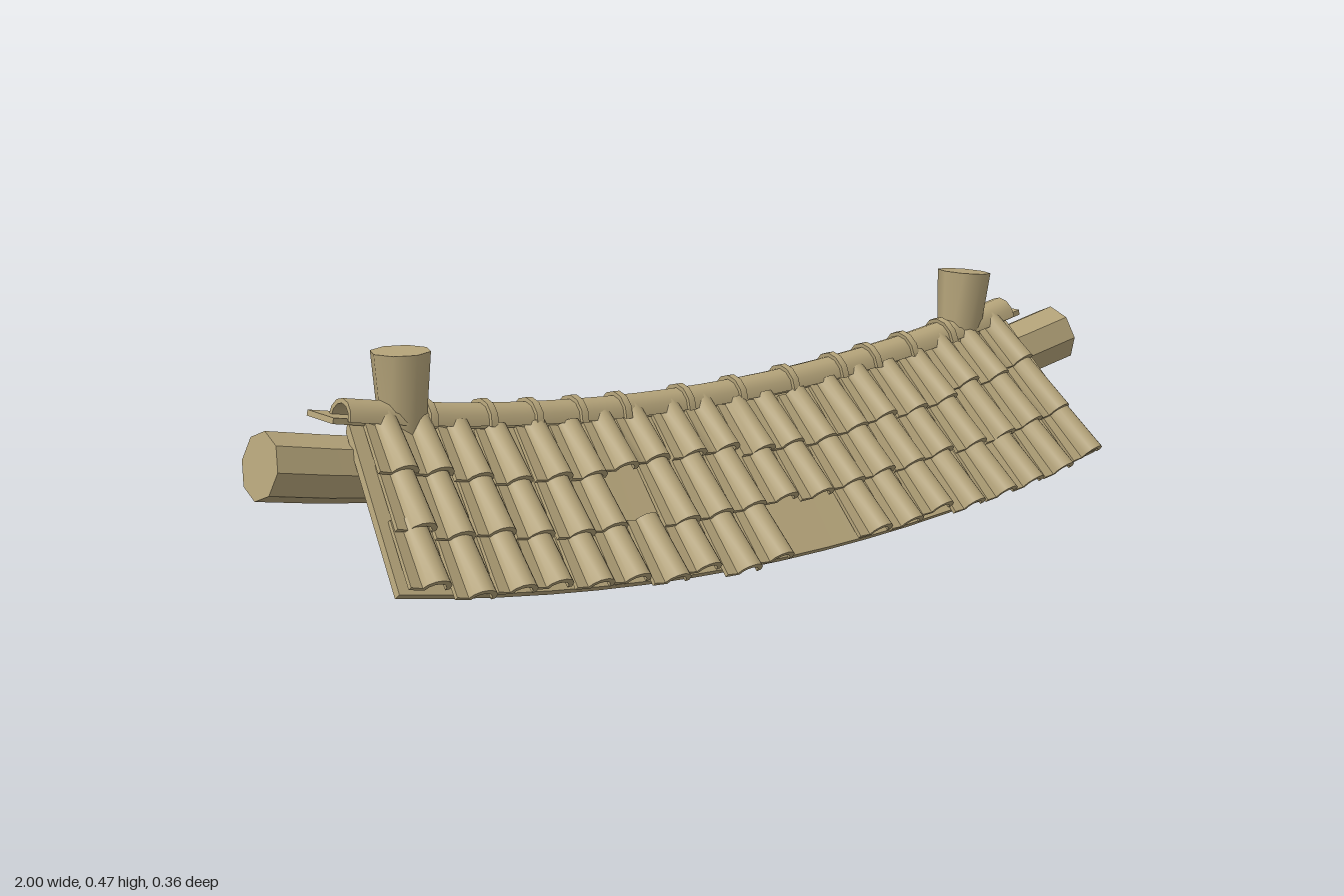
import * as THREE from 'three';
import { mergeGeometries, toCreasedNormals } from 'three/addons/utils/BufferGeometryUtils.js';

const ROOF_R = 4.45, LOG_R = 5.1;              // sag radii
const EAVE = { z: 0.14, y: 0.012 };            // top front edge of the roof deck
const UP = { z: -0.673, y: 0.74 }, OUT = { z: 0.74, y: 0.673 };

// Move every vertex by a rule
function warp(geo, rule) {
  const p = geo.attributes.position;
  const v = new THREE.Vector3();
  for (let i = 0; i < p.count; i++) {
    v.fromBufferAttribute(p, i);
    rule(v);
    p.setXYZ(i, v.x, v.y, v.z);
  }
  return geo;
}

// Bend the straight model into a sagging arc
function bend(geo, R) {
  warp(geo, v => {
    const a = v.x / R, r = R - v.y;
    v.x = r * Math.sin(a);
    v.y = R - r * Math.cos(a);
  });
  return toCreasedNormals(geo, 0.7);
}

// Half-pipe section, with an optional flat pan on the left
function archShape(r, thick, pan = 0) {
  const s = new THREE.Shape(), n = 6;
  if (pan) {
    s.moveTo(-r - pan, -0.004);
    s.lineTo(-r - pan, 0.005);
    s.lineTo(-r, 0.002);
  } else s.moveTo(-r, 0);
  for (let i = 1; i <= n; i++) {
    const a = Math.PI * (1 - i / n);
    s.lineTo(r * Math.cos(a), r * Math.sin(a));
  }
  for (let i = 0; i <= n; i++) {
    const a = Math.PI * i / n;
    s.lineTo((r - thick) * Math.cos(a), (r - thick) * Math.sin(a) - (pan ? 0.004 : 0));
  }
  s.closePath();
  return s;
}

// Half-pipe running along x
function archAlongX(x0, x1, r, thick, y, z, steps) {
  const g = new THREE.ExtrudeGeometry(archShape(r, thick), { depth: x1 - x0, steps, bevelEnabled: false });
  return g.rotateY(Math.PI / 2).translate(x0, y, z);
}

// One roof tile: t is the distance of its lip up the slope
function tile(x, t, len) {
  const g = new THREE.ExtrudeGeometry(archShape(0.029, 0.008, 0.026), { depth: len, bevelEnabled: false });
  return warp(g, v => {
    const k = v.z / len, w = t + len - v.z;     // k = 1 at the lip
    const scale = 0.86 + 0.14 * k;
    const n = v.y * scale + 0.003 + 0.011 * k;
    v.x = x + v.x * scale;
    v.y = EAVE.y + UP.y * w + OUT.y * n;
    v.z = EAVE.z + UP.z * w + OUT.z * n;
  });
}

export function createModel() {
  const group = new THREE.Group();
  const material = new THREE.MeshStandardMaterial({ color: 0xb5a47a });
  const add = (name, geo) => {
    const m = new THREE.Mesh(geo, material);
    m.name = name;
    group.add(m);
  };
  let seed = 7;
  const rnd = () => (seed = (seed * 16807) % 2147483647) / 2147483647;

  // Sloping deck under the tiles
  const deckShape = new THREE.Shape([[0.128, 0.002], [0.14, 0.012], [-0.1, 0.276], [-0.1, 0.253]]
    .map(([z, y]) => new THREE.Vector2(-z, y)));
  const deck = new THREE.ExtrudeGeometry(deckShape, { depth: 1.75, steps: 16, bevelEnabled: false });
  deck.rotateY(Math.PI / 2).translate(-0.875, 0, 0);
  add('roofDeck', bend(deck, ROOF_R));

  // Three overlapping tile rows, slightly uneven, a few tiles missing
  for (let row = 0; row < 3; row++) {
    const tiles = [];
    for (let i = 0; i < 20; i++) {
      const x = -0.8 + i * 0.086 + (rnd() - 0.5) * 0.012;
      const t = -0.008 + row * 0.118 + (rnd() - 0.5) * 0.028;
      const gone = (row === 0 && (i === 10 || i === 11)) || (row === 1 && i === 6);
      if (!gone) tiles.push(tile(x, t, row === 2 ? 0.125 : 0.142));
    }
    add('tileRow' + (row + 1), bend(mergeGeometries(tiles), ROOF_R));
  }

  // Flat board behind the ridge
  const board = new THREE.BoxGeometry(1.83, 0.011, 0.09, 16, 1, 1).translate(0, 0.274, -0.132);
  add('ridgeBoard', bend(board, ROOF_R));

  // Ridge cap with raised joints
  add('ridgeCap', bend(archAlongX(-0.885, 0.885, 0.038, 0.009, 0.275, -0.112, 20), ROOF_R));
  const joints = [-0.7, -0.56, -0.45, -0.34, -0.23, -0.065, 0.075, 0.22, 0.36, 0.46, 0.57, 0.69]
    .map(x => archAlongX(x - 0.008, x + 0.008, 0.046, 0.012, 0.275, -0.112, 1));
  add('ridgeJoints', bend(mergeGeometries(joints), ROOF_R));

  // Supporting log, thicker toward its ends
  const log = new THREE.CylinderGeometry(1, 1, 2.068, 8, 16).rotateZ(Math.PI / 2);
  warp(log, v => {
    const r = 0.049 + 0.014 * Math.min(1, Math.abs(v.x) / 0.95);
    v.y = 0.195 + v.y * r;
    v.z = -0.112 + v.z * r;
  });
  add('beamLog', bend(log, LOG_R));

  // Two tapered posts through the ridge
  for (const [name, x, tilt] of [['rightPost', -0.693, 0], ['leftPost', 0.708, -0.1]]) {
    const post = new THREE.CylinderGeometry(0.056, 0.036, 0.24, 8);
    post.translate(0, 0.12, 0).rotateZ(tilt).translate(x - (tilt ? 0.02 : 0), 0.224, -0.115);
    add(name, toCreasedNormals(post, 0.9));
  }
  return group;
}
